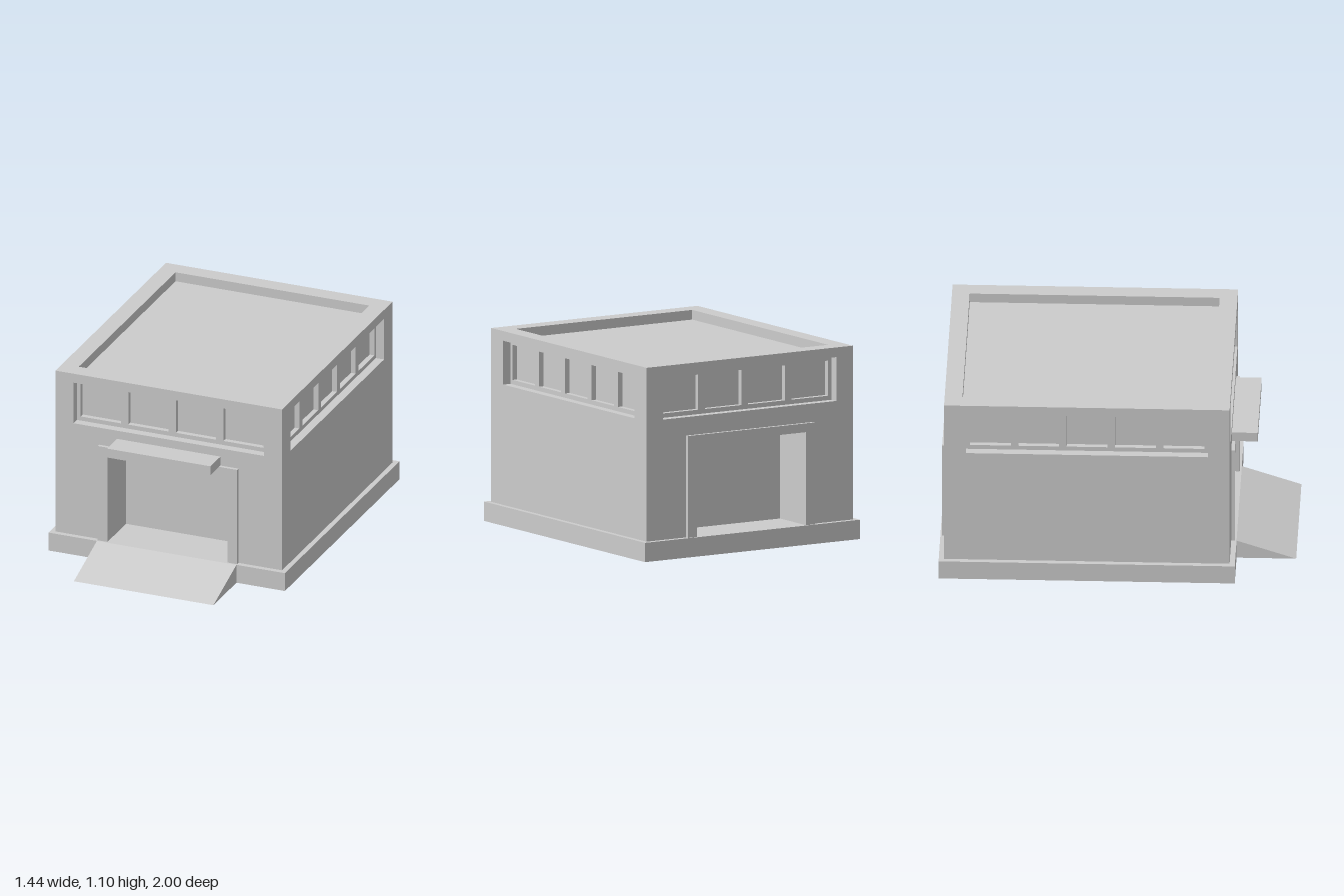
import * as THREE from 'three';

const material = new THREE.MeshStandardMaterial({ color: 0xcccccc, flatShading: true });
const BASE = 0.11, TOP = 1.1;        // floor level and parapet top
const HALF_W = 0.69, HALF_L = 0.8025; // half sizes of the wall block
const MID_Z = -0.1675, WALL = 0.1;

function mesh(name, geometry, x = 0, y = 0, z = 0) {
  const m = new THREE.Mesh(geometry, material);
  m.name = name;
  m.position.set(x, y, z);
  return m;
}

function box(name, x0, x1, y0, y1, z0, z1) {
  return mesh(name, new THREE.BoxGeometry(x1 - x0, y1 - y0, z1 - z0),
    (x0 + x1) / 2, (y0 + y1) / 2, (z0 + z1) / 2);
}

function extrude(shape, depth) {
  return new THREE.ExtrudeGeometry(shape, { depth, bevelEnabled: false });
}

function polygon(points) {
  return new THREE.Shape(points.map(([x, y]) => new THREE.Vector2(x, y)));
}

// Rectangle standing on the floor level, optionally notched by a doorway
function panelShape(half, top, door) {
  const points = [[half, BASE], [half, top], [-half, top], [-half, BASE]];
  if (door) points.push([-door.half, BASE], [-door.half, door.top], [door.half, door.top], [door.half, BASE]);
  return polygon(points);
}

function addHole(shape, x0, x1, y0, y1) {
  const hole = new THREE.Path();
  hole.moveTo(x0, y0).lineTo(x0, y1).lineTo(x1, y1).lineTo(x1, y0).closePath();
  shape.holes.push(hole);
}

// Wall in three layers: outer face with window band, mullions, panes.
// Local z = 0 is the outer face.
function makeWall(name, { half, band, count, pitch, pane, door }) {
  const wall = new THREE.Group();
  wall.name = name;
  const notch = door && { half: 0.4, top: 0.66 };

  const outer = panelShape(half, TOP, notch);
  addHole(outer, -band, band, 0.795, 1.045);
  wall.add(mesh('wallFace', extrude(outer, 0.05), 0, 0, -0.05));

  const mullions = panelShape(half, TOP, notch);
  for (let i = 0; i < count; i++) {
    const c = (i - (count - 1) / 2) * pitch;
    addHole(mullions, c - pane, c + pane, 0.82, 1.02);
  }
  wall.add(mesh('windowMullions', extrude(mullions, 0.03), 0, 0, -0.08));
  wall.add(mesh('windowPanes', extrude(panelShape(half, TOP, notch), 0.02), 0, 0, -WALL));

  if (door) {
    // Deep door surround, slightly proud of the wall, closed by a panel
    const frame = panelShape(0.425, 0.69, { half: 0.365, top: 0.64 });
    wall.add(mesh('doorFrame', extrude(frame, 0.27), 0, 0, -0.25));
    wall.add(box('doorPanel', -0.42, 0.42, BASE, 0.68, -0.28, -0.25));
  }
  return wall;
}

export function createModel() {
  const model = new THREE.Group();
  model.name = 'building';

  // Plinth and entrance ramp
  model.add(box('plinth', -0.72, 0.72, 0, BASE, -1, 0.665));
  const wedge = extrude(polygon([[0.665, 0], [1, 0], [0.665, BASE]]), 0.85);
  wedge.translate(0, 0, -0.425).rotateY(-Math.PI / 2);
  model.add(mesh('ramp', wedge));

  // Front and back walls with doorways, side walls fitted between them
  const endWall = { half: HALF_W, band: 0.58, count: 4, pitch: 0.29, pane: 0.1225, door: true };
  const sideWall = { half: HALF_L - WALL, band: 0.68, count: 5, pitch: 0.272, pane: 0.115, door: false };
  for (const s of [1, -1]) {
    const end = makeWall(s > 0 ? 'frontWall' : 'backWall', endWall);
    end.position.z = MID_Z + s * HALF_L;
    end.rotation.y = s > 0 ? 0 : Math.PI;
    const side = makeWall(s > 0 ? 'leftWall' : 'rightWall', sideWall);
    side.position.set(s * HALF_W, 0, MID_Z);
    side.rotation.y = s * Math.PI / 2;
    model.add(end, side);
  }

  // Sunken roof behind the parapet, and the canopy over the front door
  const rx = HALF_W - WALL, rz = HALF_L - WALL;
  model.add(box('roof', -rx, rx, 0.99, 1.045, MID_Z - rz, MID_Z + rz));
  model.add(box('canopy', -0.315, 0.315, 0.69, 0.745, 0.62, 0.78));
  return model;
}
